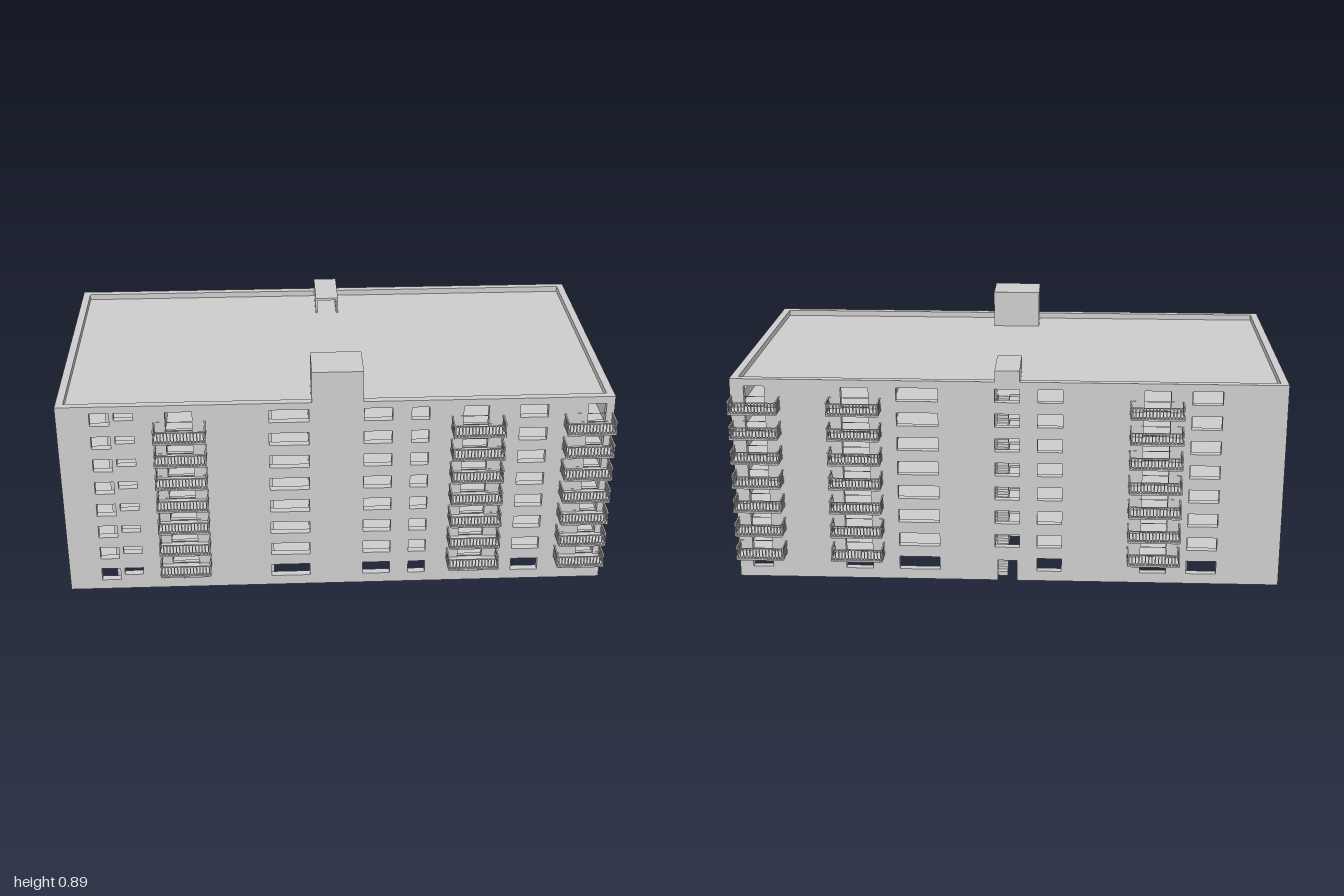
import * as THREE from 'three';
import { mergeGeometries } from 'three/addons/utils/BufferGeometryUtils.js';

const FLOORS = 8, PITCH = 0.0934, T = 0.028;
const TOP = 0.77, ROOF = 0.748, FRONT = 0.52, BACK = -0.525;
const floorY = (i) => 0.003 + i * PITCH;

const material = new THREE.MeshStandardMaterial({ color: 0xcccccc, side: THREE.DoubleSide });

// Box given by its minimum and maximum corners
function box(x0, x1, y0, y1, z0, z1) {
  return new THREE.BoxGeometry(x1 - x0, y1 - y0, z1 - z0)
    .translate((x0 + x1) / 2, (y0 + y1) / 2, (z0 + z1) / 2);
}

function rect(Type, x0, x1, y0, y1) {
  return new Type([[x0, y0], [x1, y0], [x1, y1], [x0, y1]].map((p) => new THREE.Vector2(...p)));
}

function add(group, name, geometry) {
  const mesh = new THREE.Mesh(geometry, material);
  mesh.name = name;
  group.add(mesh);
  return mesh;
}

const extrude = (shape, depth) =>
  new THREE.ExtrudeGeometry(shape, { depth, bevelEnabled: false, curveSegments: 4 });

// Wall with one opening per storey in each column: [from, to, kind]
function wall(u0, u1, columns, entrance) {
  const shape = new THREE.Shape();
  shape.moveTo(u0, 0);
  if (entrance) {
    const [a, b, h] = entrance;
    shape.lineTo(a, 0).lineTo(a, h).lineTo(b, h).lineTo(b, 0);
  }
  shape.lineTo(u1, 0).lineTo(u1, TOP).lineTo(u0, TOP).closePath();
  for (const [a, b, kind] of columns) {
    for (let i = kind === 'stair' ? 1 : 0; i < FLOORS; i++) {
      let sill = 0.036;
      if (kind === 'vent') sill = 0.057;
      if (kind === 'door' && i > 0) sill = 0.005;
      shape.holes.push(rect(THREE.Path, a, b, floorY(i) + sill, floorY(i) + 0.086));
    }
  }
  return extrude(shape, T);
}

// Plan outline of a balcony: open at the wall, rounded outer corners
function balconyOutline(w, d, r) {
  const s = new THREE.Shape();
  s.moveTo(-w / 2, 0).lineTo(w / 2, 0).lineTo(w / 2, d - r);
  s.quadraticCurveTo(w / 2, d, w / 2 - r, d);
  s.lineTo(-w / 2 + r, d);
  s.quadraticCurveTo(-w / 2, d, -w / 2, d - r);
  s.closePath();
  return s;
}

// One balcony: slab, two rails and balusters, projecting towards +z
function balconyGeometry(w, d) {
  const lay = (g, y) => g.rotateX(Math.PI / 2).translate(0, y, 0);
  const parts = [lay(extrude(balconyOutline(w, d, 0.01), 0.006), 0.006)];
  for (const y of [0.013, 0.048]) {
    const rail = balconyOutline(w, d, 0.01);
    const b = 0.005;
    rail.holes.push(new THREE.Path(
      balconyOutline(w - 2 * b, d - b, 0.007).getPoints(4).map((p) => new THREE.Vector2(p.x, Math.max(p.y, 0.0005)))));
    parts.push(lay(extrude(rail, 0.003), y));
  }
  const bar = (x, z) => parts.push(
    new THREE.BoxGeometry(0.004, 0.042, 0.004).translate(x, 0.026, z).toNonIndexed());
  const n = Math.round(w / 0.0125), m = 6;
  for (let k = 0; k <= n; k++) bar(-w / 2 + 0.006 + (w - 0.012) * k / n, d - 0.003);
  for (let k = 0; k < m; k++) {
    for (const s of [-1, 1]) bar(s * (w / 2 - 0.003), 0.004 + (d - 0.016) * k / m);
  }
  return mergeGeometries(parts);
}

export function createModel() {
  const model = new THREE.Group();
  model.name = 'apartmentBlock';

  // Outer walls
  const front = add(model, 'frontWall', wall(-1, 1, [
    [-0.881, -0.811], [-0.795, -0.726, 'vent'], [-0.613, -0.517, 'door'], [-0.244, -0.1],
    [0.098, 0.2], [0.269, 0.333], [0.456, 0.547, 'door'], [0.66, 0.761], [0.905, 0.97, 'door'],
  ]));
  front.position.z = FRONT - T;
  const back = add(model, 'backWall', wall(-1, 1, [
    [-0.77, -0.66], [-0.585, -0.49, 'door'], [-0.2, -0.11], [-0.045, 0.045, 'stair'],
    [0.25, 0.4], [0.5, 0.6, 'door'], [0.875, 0.95, 'door'],
  ], [-0.035, 0.035, 0.08]));
  back.position.z = BACK;
  const sides = {
    leftWall: [1, [[0.397, 0.494], [0.172, 0.247, 'vent'], [-0.127, 0.013], [-0.407, -0.312]]],
    rightWall: [-1 + T, [[0.34, 0.44], [0.11, 0.21], [-0.104, -0.02], [-0.205, -0.145], [-0.355, -0.27]]],
  };
  for (const [name, [x, columns]] of Object.entries(sides)) {
    const g = wall(BACK + T, FRONT - T, columns).rotateY(-Math.PI / 2);
    add(model, name, g).position.x = x;
  }

  // Storey slabs with a stairwell opening, and the solid roof deck
  const slabShape = rect(THREE.Shape, -1 + T, 1 - T, -FRONT + T, -BACK - T);
  slabShape.holes.push(rect(THREE.Path, -0.045, 0.045, 0.31, 0.49));
  const slab = extrude(slabShape, 0.01).rotateX(-Math.PI / 2);
  for (let i = 1; i < FLOORS; i++) add(model, 'floorSlab', slab).position.y = floorY(i) - 0.01;
  add(model, 'roofDeck', box(-1 + T, 1 - T, ROOF - 0.012, ROOF, BACK + T, FRONT - T));

  // Inner partitions, with gaps left as doorways: [x0, z0, x1, z1]
  const plan = [
    [0.055, -0.497, 0.055, -0.2], [0.055, -0.13, 0.055, 0.14], [0.095, 0.2, 0.095, 0.492],
    [0.055, 0.14, 0.24, 0.14], [0.055, -0.15, 0.3, -0.15], [0.24, -0.05, 0.24, 0.14],
    [0.24, 0.2, 0.24, 0.492], [0.43, -0.497, 0.43, -0.2], [0.37, -0.15, 0.62, -0.15],
    [0.3, 0.16, 0.56, 0.16], [0.4, 0.22, 0.4, 0.492], [0.62, 0.16, 0.62, 0.492],
    [0.66, -0.497, 0.66, -0.15], [0.62, 0.02, 0.972, 0.02], [0.68, 0.14, 0.972, 0.14],
    [0.72, -0.2, 0.972, -0.2], [0.82, 0.2, 0.82, 0.492], [0.5, -0.1, 0.5, 0.1],
  ];
  const partitions = [];
  for (const s of [-1, 1]) {
    for (const [x0, z0, x1, z1] of plan) {
      const a = Math.min(s * x0, s * x1), b = Math.max(s * x0, s * x1);
      partitions.push(box(a - 0.006, b + 0.006, 0, ROOF - 0.012, z0, z1 + (z0 === z1 ? 0.012 : 0)));
    }
  }
  add(model, 'innerWalls', mergeGeometries(partitions));

  // Stair flights, one per storey
  const steps = [], STEPS = 8;
  for (let i = 0; i < FLOORS - 1; i++) {
    for (let k = 0; k < STEPS; k++) {
      const y = floorY(i) + PITCH * (k + 1) / STEPS, z = -0.48 + 0.17 * k / STEPS;
      steps.push(box(0, 0.042, y - 0.016, y, z, z + 0.022));
    }
  }
  add(model, 'stairs', mergeGeometries(steps));

  // Lift housing and stair hood on the roof
  add(model, 'liftHousing', box(-0.09, 0.095, 0.745, 0.89, 0.355, FRONT + 0.002));
  add(model, 'stairHood', mergeGeometries([
    box(-0.045, 0.045, 0.802, 0.811, BACK, -0.32),
    box(-0.045, -0.037, ROOF, 0.802, BACK, -0.32),
    box(0.037, 0.045, ROOF, 0.802, BACK, -0.32),
    box(-0.037, 0.037, 0.769, 0.802, BACK, BACK + 0.01),
  ]));

  // Balcony stacks: [x from, x to, facing]
  const stacks = [
    [-0.656, -0.469, 1], [0.412, 0.602, 1], [0.82, 0.997, 1],
    [-0.632, -0.44, -1], [0.455, 0.645, -1], [0.82, 0.997, -1],
  ];
  for (const [x0, x1, facing] of stacks) {
    const stack = new THREE.Group();
    stack.name = facing > 0 ? 'frontBalconies' : 'backBalconies';
    const g = balconyGeometry(x1 - x0, facing > 0 ? 0.085 : 0.08);
    for (let i = 1; i < FLOORS; i++) add(stack, 'balcony', g).position.y = floorY(i);
    stack.position.set((x0 + x1) / 2, 0, facing > 0 ? FRONT : BACK);
    if (facing < 0) stack.rotation.y = Math.PI;
    model.add(stack);
  }
  return model;
}
